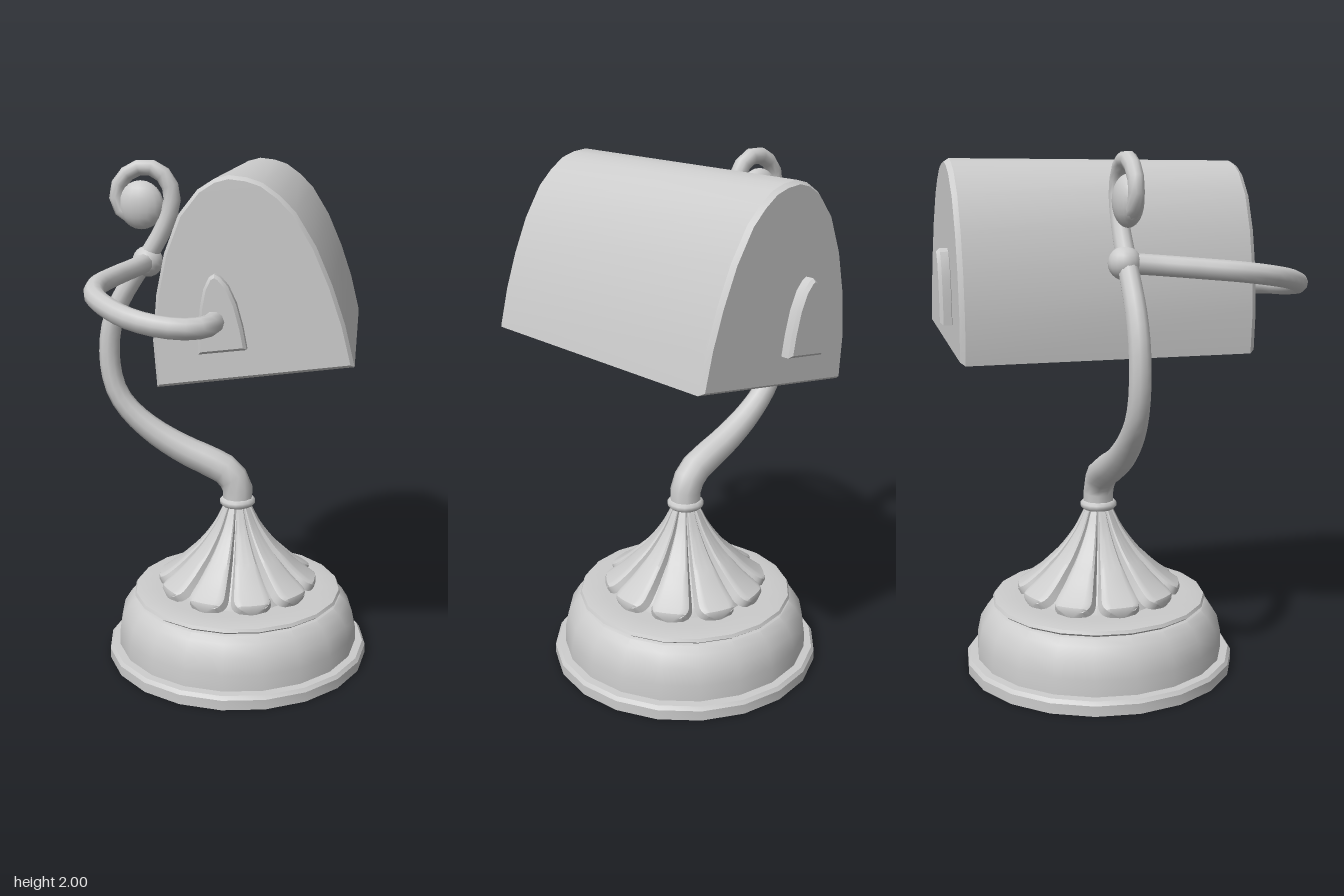
import * as THREE from 'three';
import { toCreasedNormals } from 'three/addons/utils/BufferGeometryUtils.js';

const AX = 0.008, AZ = -0.08; // axis of the base and stem
const material = new THREE.MeshStandardMaterial({ color: 0xcccccc, side: THREE.DoubleSide });

function add(parent, name, geometry, x = 0, y = 0, z = 0) {
  const mesh = new THREE.Mesh(geometry, material);
  mesh.name = name;
  mesh.position.set(x, y, z);
  parent.add(mesh);
  return mesh;
}

const vec2 = (pts) => pts.map(([x, y]) => new THREE.Vector2(x, y));

function lathe(pts, sides, crease = 0.5) {
  return toCreasedNormals(new THREE.LatheGeometry(vec2(pts), sides), crease);
}

// Slab with chamfered edges that stay within the outline
function chamferedSlab(outline, depth, thickness, size) {
  return toCreasedNormals(new THREE.ExtrudeGeometry(new THREE.Shape(outline), {
    depth, bevelSegments: 1, bevelThickness: thickness, bevelSize: size, bevelOffset: -size,
  }), 0.45);
}

// Tube through points, with its radius given by a function of 0..1 along its length
function taperedTube(points, steps, sides, radius) {
  const curve = new THREE.CatmullRomCurve3(points.map((p) => new THREE.Vector3(...p)), false, 'centripetal');
  const geo = new THREE.TubeGeometry(curve, steps, 1, sides);
  const pos = geo.attributes.position;
  const p = new THREE.Vector3();
  for (let i = 0; i <= steps; i++) {
    const c = curve.getPointAt(i / steps);
    for (let j = 0; j <= sides; j++) {
      const k = i * (sides + 1) + j;
      p.fromBufferAttribute(pos, k).sub(c).multiplyScalar(radius(i / steps)).add(c);
      pos.setXYZ(k, p.x, p.y, p.z);
    }
  }
  return geo;
}

// Raised petal lying on the concave cone: rounded at the foot, narrow at the neck
function petalGeometry(count) {
  const profile = new THREE.SplineCurve(vec2([
    [0.05, 0.635], [0.088, 0.545], [0.15, 0.45], [0.222, 0.375], [0.285, 0.325], [0.325, 0.3],
  ]));
  const geo = new THREE.PlaneGeometry(2, 1, 12, 20);
  const pos = geo.attributes.position;
  for (let i = 0; i < pos.count; i++) {
    const u = pos.getX(i), t = 0.5 - pos.getY(i);
    const c = profile.getPoint(t), d = profile.getTangent(t);
    const round = t > 0.75 ? Math.sqrt(Math.max(0, 1 - ((t - 0.75) / 0.25) ** 2)) : 1;
    const angle = u * (Math.PI / count) * 0.95 * Math.max(round, 0.12);
    const edge = Math.min(1, (1 - Math.abs(u)) * 5, (1 - t) * 14);
    const lift = (0.004 + 0.018 * Math.min(1, t * 2)) * edge - 0.014 * (1 - edge);
    const r = c.x - d.y * lift, y = c.y + d.x * lift;
    pos.setXYZ(i, r * Math.sin(angle), y, r * Math.cos(angle));
  }
  return toCreasedNormals(geo, 0.6);
}

function buildBase(group) {
  const base = new THREE.Group();
  base.name = 'base';
  base.position.set(AX, 0, AZ);
  group.add(base);

  // Hollow bowl with a foot rim and a stepped top
  add(base, 'baseBowl', lathe([
    [0, 0.268], [0.39, 0.268], [0.42, 0.24], [0.46, 0.18], [0.477, 0.12], [0.48, 0.05], [0.52, 0.03], [0.522, 0],
    [0.533, 0], [0.533, 0.04], [0.522, 0.054], [0.492, 0.056], [0.49, 0.12], [0.476, 0.185], [0.448, 0.23],
    [0.425, 0.253], [0.412, 0.257], [0.426, 0.268], [0.42, 0.28], [0.39, 0.286], [0.34, 0.286], [0, 0.288],
  ], 20));

  // Concave cone under the ring of petals
  add(base, 'coneCore', lathe([
    [0.275, 0.286], [0.262, 0.32], [0.206, 0.37], [0.137, 0.445], [0.077, 0.54], [0.042, 0.64],
  ], 20));
  const count = 10;
  const petal = petalGeometry(count);
  for (let i = 0; i < count; i++) {
    add(base, 'petal', petal).rotation.y = ((i + 0.5) / count) * Math.PI * 2;
  }

  // Collar at the neck
  add(base, 'neckCollar', lathe([
    [0.045, 0.63], [0.062, 0.633], [0.072, 0.643], [0.072, 0.656], [0.062, 0.666], [0.03, 0.668],
  ], 16, 1));
}

function buildStem(group) {
  const path = [
    [0.008, 0.65], [0.007, 0.71], [-0.03, 0.77], [-0.1, 0.81], [-0.2, 0.855], [-0.32, 0.925], [-0.42, 1.01],
    [-0.475, 1.09], [-0.502, 1.2], [-0.496, 1.34], [-0.46, 1.45], [-0.4, 1.55], [-0.345, 1.63], [-0.29, 1.72],
    [-0.255, 1.8], [-0.243, 1.87], [-0.265, 1.93], [-0.305, 1.963], [-0.355, 1.972], [-0.41, 1.95],
    [-0.448, 1.905], [-0.457, 1.855], [-0.435, 1.805], [-0.39, 1.78], [-0.35, 1.79],
  ].map(([x, y]) => [x, y, AZ]);
  const radius = (t) => 0.061 - 0.02 * THREE.MathUtils.smoothstep(t, 0.08, 0.38)
    - 0.012 * THREE.MathUtils.smoothstep(t, 0.38, 1);
  add(group, 'stem', taperedTube(path, 40, 10, radius));

  // Flattened ball inside the curl, and the joint that carries the arm
  add(group, 'curlBall', new THREE.SphereGeometry(0.088, 16, 12), -0.364, 1.83, AZ).scale.set(1, 1.05, 0.6);
  add(group, 'armJoint', new THREE.SphereGeometry(0.06, 16, 12), -0.343, 1.615, AZ - 0.005);

  // Arm sweeping round to the front end of the shade
  add(group, 'shadeArm', taperedTube([
    [-0.343, 1.615, -0.08], [-0.365, 1.608, 0.02], [-0.41, 1.597, 0.16], [-0.447, 1.583, 0.32], [-0.43, 1.567, 0.44],
    [-0.36, 1.547, 0.55], [-0.27, 1.525, 0.625], [-0.17, 1.508, 0.655], [-0.08, 1.5, 0.65],
    [-0.025, 1.5, 0.615], [-0.007, 1.5, 0.56], [-0.005, 1.5, 0.49],
  ], 24, 10, () => 0.037));
}

function buildShade(group) {
  const shade = new THREE.Group();
  shade.name = 'shade';
  group.add(shade);

  // Arched hood with a straight-sided pocket open below
  const outer = vec2([
    [-0.211, 1.255], [-0.223, 1.42], [-0.209, 1.58], [-0.18, 1.72], [-0.13, 1.85], [-0.065, 1.932],
    [-0.01, 1.967], [0.04, 1.98], [0.1, 1.973], [0.152, 1.956], [0.207, 1.917], [0.262, 1.863], [0.332, 1.75],
    [0.389, 1.62], [0.434, 1.49], [0.47, 1.345],
  ]);
  const pocket = vec2([[0.449, 1.342], [0.285, 1.73], [-0.165, 1.655], [-0.191, 1.258]]);
  const front = 0.48, back = -0.65, chamfer = 0.018, straight = 0.006;
  add(shade, 'shadeHood', toCreasedNormals(new THREE.ExtrudeGeometry(new THREE.Shape([...outer, ...pocket]), {
    depth: front - back - 2 * chamfer, bevelEnabled: false,
  }), 0.45), 0, 0, back + chamfer);

  // Chamfered end walls, each with an arched mounting plate
  const wall = chamferedSlab(outer, straight, chamfer, 0.012);
  add(shade, 'frontWall', wall, 0, 0, front - chamfer - straight);
  add(shade, 'backWall', wall, 0, 0, back + chamfer);

  const arch = vec2([
    [-0.06, 1.385], [0.106, 1.405], [0.092, 1.48], [0.07, 1.56], [0.042, 1.62], [0.015, 1.65], [-0.003, 1.66],
    [-0.022, 1.648], [-0.04, 1.61], [-0.052, 1.55], [-0.058, 1.48],
  ]);
  const plate = chamferedSlab(arch, 0.03, 0.012, 0.01);
  add(shade, 'frontPlate', plate, 0, 0, 0.48);
  add(shade, 'backPlate', plate, 0, 0, -0.682);
}

export function createModel() {
  const group = new THREE.Group();
  group.name = 'deskLamp';
  buildBase(group);
  buildStem(group);
  buildShade(group);
  return group;
}
